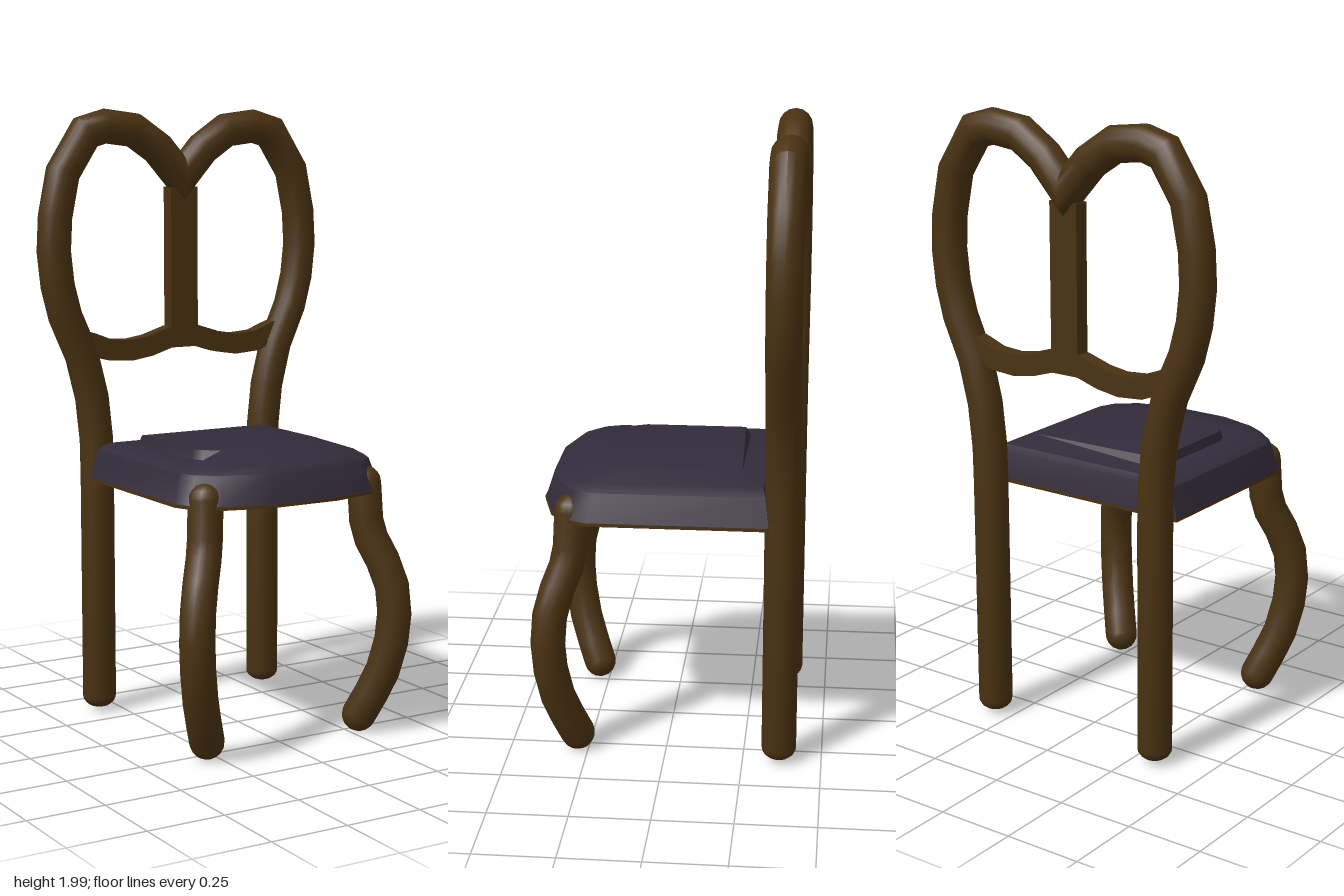
import * as THREE from 'three';
import { toCreasedNormals } from 'three/addons/utils/BufferGeometryUtils.js';

const wood = new THREE.MeshStandardMaterial({ color: 0x4a3212 });
const fabric = new THREE.MeshStandardMaterial({ color: 0x322b3a });

// Skin a stack of equal-length rings [[x, y, z], ...] and close both ends.
function loft(rings, crease = 0.75) {
  const n = rings[0].length, pos = rings.flat(2), idx = [];
  for (let i = 0; i < rings.length - 1; i++) {
    for (let j = 0; j < n; j++) {
      const a = i * n + j, b = i * n + (j + 1) % n;
      idx.push(a, b, b + n, a, b + n, a + n);
    }
  }
  const last = (rings.length - 1) * n;
  for (let j = 1; j < n - 1; j++) {
    idx.push(0, j + 1, j, last, last + j, last + j + 1);
  }
  const g = new THREE.BufferGeometry();
  g.setAttribute('position', new THREE.Float32BufferAttribute(pos, 3));
  g.setIndex(idx);
  return toCreasedNormals(g, crease);
}

// Sweep an elliptical or four-sided section along a mitred path in the xy plane.
function sweep(path, { w = 0.055, d = 0.055, sides = 16, cap = 0 }) {
  const phase = sides === 4 ? Math.PI / 4 : 0;
  const grow = sides === 4 ? Math.SQRT2 : 1;
  const pts = path.map(([x, y]) => new THREE.Vector2(x, y));
  const dir = (a, b) => b.clone().sub(a).normalize();
  const ring = (p, t, s, k = 1) => Array.from({ length: sides }, (_, j) => {
    const a = phase + (j / sides) * Math.PI * 2;
    const u = Math.cos(a) * w * grow * s * k;
    return [p.x - t.y * u, p.y + t.x * u, Math.sin(a) * d * grow * s];
  });
  const rings = [], end = pts.length - 1;
  const addCap = (p, t, sign) => {
    const steps = sign < 0 ? [0.97, 0.8, 0.55, 0.28] : [0.28, 0.55, 0.8, 0.97];
    for (const h of steps) {
      rings.push(ring(p.clone().addScaledVector(t, sign * h * cap), t, Math.sqrt(1 - h * h)));
    }
  };
  pts.forEach((p, i) => {
    const tIn = dir(pts[Math.max(i - 1, 0)], pts[Math.max(i, 1)]);
    const tOut = dir(pts[Math.min(i, end - 1)], pts[Math.min(i + 1, end)]);
    const t = tIn.clone().add(tOut).normalize();
    if (i === 0 && cap) addCap(p, t, -1);
    rings.push(ring(p, t, 1, 1 / t.dot(tIn)));
    if (i === end && cap) addCap(p, t, 1);
  });
  return loft(rings);
}

// Complete a right-hand path with its mirror image, ending at the left.
const mirrored = (half) => [
  ...half,
  ...half.filter(([x]) => x > 0).reverse().map(([x, y]) => [-x, y]),
];

export function createModel() {
  const chair = new THREE.Group();
  chair.name = 'chair';
  const add = (name, geometry, material, parent = chair) => {
    const m = new THREE.Mesh(geometry, material);
    m.name = name;
    parent.add(m);
    return m;
  };

  // Back: rear legs and heart-shaped frame in one bent rod
  const back = new THREE.Group();
  back.name = 'back';
  back.position.z = -0.365;
  chair.add(back);
  const framePath = mirrored([
    [0.32, 0.055], [0.32, 0.8], [0.322, 0.92], [0.337, 1.06], [0.372, 1.2],
    [0.43, 1.33], [0.456, 1.43], [0.468, 1.54], [0.462, 1.65], [0.433, 1.79],
    [0.35, 1.918], [0.28, 1.938], [0.175, 1.925], [0.085, 1.865], [0, 1.77],
  ]);
  add('backFrameAndRearLegs', sweep(framePath, { cap: 0.04 }), wood, back);

  // Wavy cross rail and upright centre splat
  const railPath = mirrored([
    [0.39, 1.255], [0.34, 1.238], [0.28, 1.215], [0.2, 1.209],
    [0.13, 1.22], [0.05, 1.245], [0, 1.245],
  ]);
  add('crossRail', sweep(railPath, { w: 0.034, d: 0.025, sides: 4 }), wood, back);
  add('centreSplat', new THREE.BoxGeometry(0.1, 0.53, 0.05), wood, back).position.y = 1.475;

  // Front legs: curved, splayed out on the diagonals
  const legPath = [
    [0.402, 0.06], [0.44, 0.13], [0.478, 0.21], [0.505, 0.31], [0.514, 0.4],
    [0.505, 0.49], [0.475, 0.57], [0.437, 0.64], [0.42, 0.7], [0.412, 0.82],
  ];
  const legGeometry = sweep(legPath, { cap: 0.055 });
  add('leftFrontLeg', legGeometry, wood).rotation.y = -Math.PI / 4;
  add('rightFrontLeg', legGeometry, wood).rotation.y = -Math.PI * 3 / 4;

  // Seat: the outline shrinks upward into a padded cushion
  const half = [[0.12, 0.4], [0.27, 0.36], [0.345, 0.3], [0.37, 0.24], [0.37, -0.325]];
  const outline = mirrored(half);
  const seatRing = (y, hx, zBack, zFront) => outline.map(([x, z]) =>
    [x * hx / 0.37, y, zBack + (z + 0.325) / 0.725 * (zFront - zBack)]);
  // The raised top panel ends in a small step along its right edge
  const stepRing = seatRing(0.942, 0.236, -0.235, 0.215)
    .map(([x, y, z]) => [x, x < -0.2 ? 0.915 : y, z]);
  add('seatCushion', loft([
    seatRing(0.805, 0.37, -0.325, 0.398),
    seatRing(0.895, 0.343, -0.312, 0.368),
    seatRing(0.915, 0.31, -0.305, 0.345),
    stepRing,
    seatRing(0.945, 0.23, -0.22, 0.2),
  ], 0.6), fabric);
  add('seatBase', loft([
    seatRing(0.795, 0.37, -0.325, 0.4),
    seatRing(0.806, 0.37, -0.325, 0.4),
  ]), wood);

  return chair;
}
